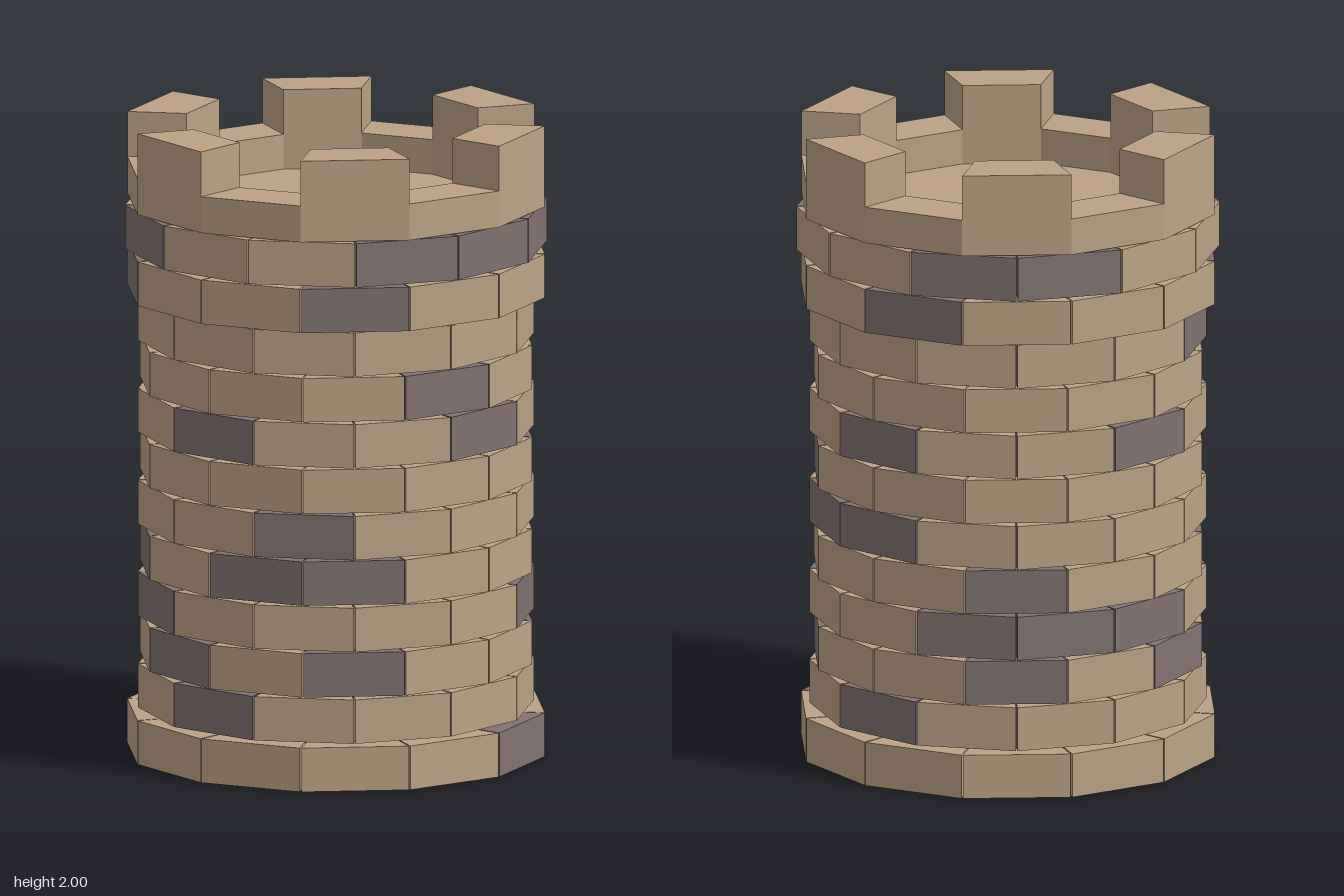
import * as THREE from 'three';

const SIDES = 12;
const STEP = (Math.PI * 2) / SIDES;
const PITCH = 0.1455; // height of one course, joint included
const BRICK_H = 0.139;
const JOINT = 0.004; // half joint between bricks, in radians
const R_WALL = 0.617, R_WIDE = 0.657, R_INNER = 0.54, R_PARAPET = 0.47;

// grey bricks of each course, counted from the front towards +x
const GREY = [
  [3], [0, 6], [1, 4, 7, 9, 11], [4, 7, 8, 9, 11], [0, 1, 7, 10], [1, 5, 6],
  [4], [0, 3, 6, 9], [2], [10], [1, 6, 10], [2, 3, 4, 7, 8, 11],
];

// plan point at an angle measured from the front (+z) towards +x
const at = (r, a) => new THREE.Vector2(r * Math.sin(a), -r * Math.cos(a));

// upright prism standing on y = 0
function prism(shape, height) {
  const g = new THREE.ExtrudeGeometry(shape, { depth: height, bevelEnabled: false });
  return g.rotateX(-Math.PI / 2);
}

// four-cornered block of a ring
function block(rIn, rOut, a0, a1, height) {
  return prism(new THREE.Shape([at(rIn, a0), at(rOut, a0), at(rOut, a1), at(rIn, a1)]), height);
}

const polygon = (r) => Array.from({ length: SIDES }, (_, i) => at(r, i * STEP));

export function createModel() {
  const stone = new THREE.MeshStandardMaterial({ color: 0xbba286 });
  stone.name = 'sandstone';
  const grey = new THREE.MeshStandardMaterial({ color: 0x807370 });
  grey.name = 'greyStone';

  const tower = new THREE.Group();
  tower.name = 'tower';
  const add = (parent, name, geometry, material, y) => {
    const mesh = new THREE.Mesh(geometry, material);
    mesh.name = name;
    mesh.position.y = y;
    parent.add(mesh);
  };

  // mortar core behind the bricks
  const core = new THREE.CylinderGeometry(0.56, 0.56, 1.738, 24).toNonIndexed();
  core.computeVertexNormals();
  add(tower, 'core', core, grey, 0.871);

  // brick courses, every other one turned by half a brick
  GREY.forEach((greys, row) => {
    const course = new THREE.Group();
    course.name = `course${row + 1}`;
    const wide = row === 0 || row >= 10;
    const shift = row % 2 ? -STEP / 2 : 0;
    const brick = block(R_INNER, wide ? R_WIDE : R_WALL, JOINT, STEP - JOINT, BRICK_H);
    for (let k = 0; k < SIDES; k++) {
      const geometry = brick.clone().rotateY(k * STEP + shift);
      add(course, 'brick', geometry, greys.includes(k) ? grey : stone, row * PITCH);
    }
    tower.add(course);
  });

  // roof floor inside the parapet
  add(tower, 'roofFloor', prism(new THREE.Shape(polygon(0.5)), 0.006), stone, 1.742);

  // parapet ring
  const ring = new THREE.Shape(polygon(R_WIDE));
  ring.holes.push(new THREE.Path(polygon(R_PARAPET).reverse()));
  add(tower, 'parapet', prism(ring, 0.115), stone, 1.743);

  // battlements on every other side
  const battlements = new THREE.Group();
  battlements.name = 'battlements';
  const merlon = block(R_PARAPET, R_WIDE, 0, STEP, 0.142);
  for (let k = 1; k < SIDES; k += 2) {
    add(battlements, 'merlon', merlon.clone().rotateY(k * STEP), stone, 1.858);
  }
  tower.add(battlements);

  return tower;
}
